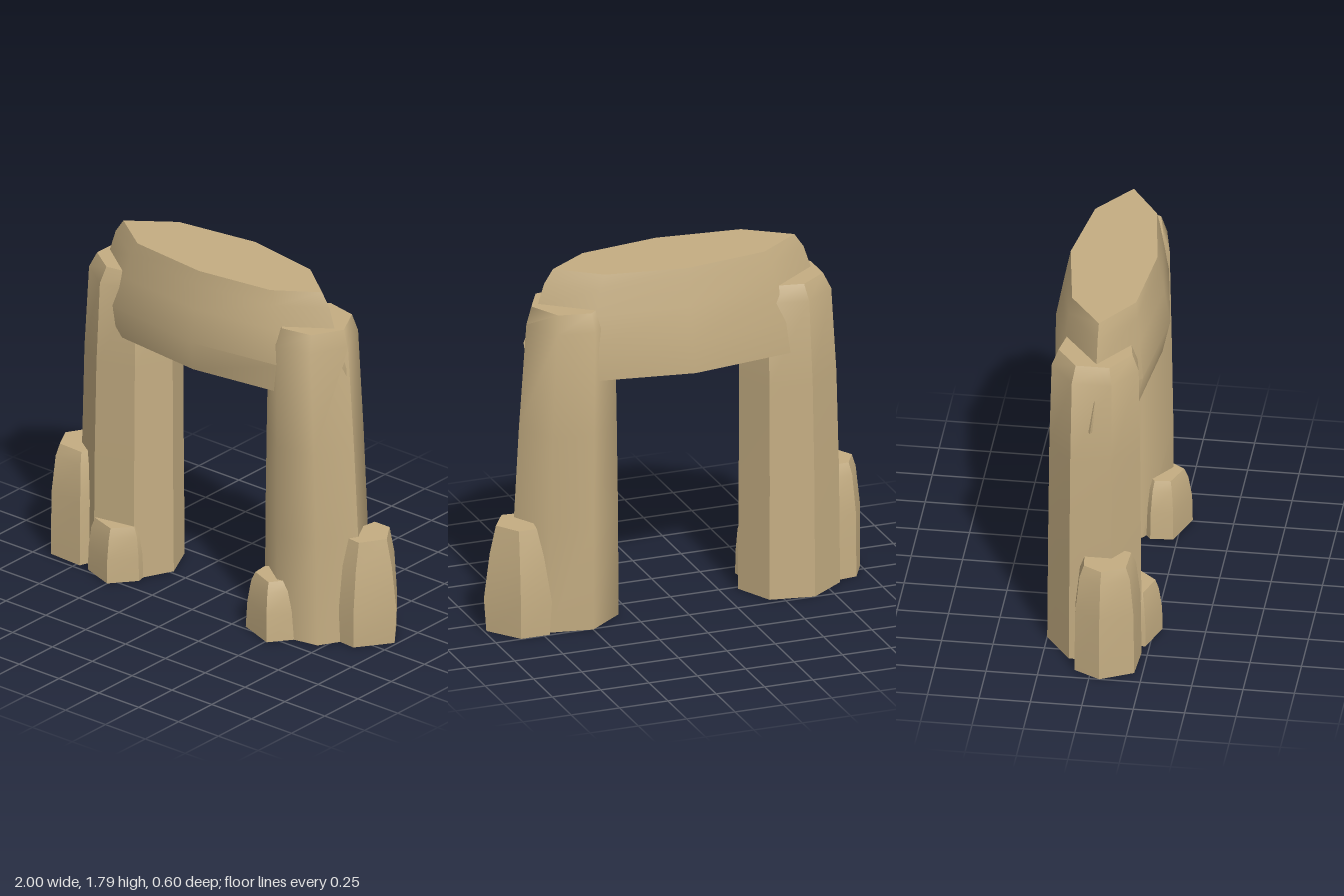
import * as THREE from 'three';
import { toCreasedNormals } from 'three/addons/utils/BufferGeometryUtils.js';

const stone = new THREE.MeshStandardMaterial({ color: 0xc4ad82 });
stone.name = 'sandstone';

// Lofts a footprint of [x, z] points (running from +x towards +z) through
// levels of [y, scaleX, scaleZ, shiftX, shiftZ] about a centre.
function rock(name, [cx, cz], footprint, levels, crease) {
  const rings = levels.map(([y, sx, sz, dx = 0, dz = 0]) =>
    footprint.map(([x, z]) => [cx + (x - cx) * sx + dx, y, cz + (z - cz) * sz + dz]));
  const positions = [];
  const tri = (...corners) => corners.forEach((c) => positions.push(...c));
  const n = footprint.length;
  const bottom = rings[0];
  const top = rings[rings.length - 1];
  for (let i = 0; i < n; i++) {
    const k = (i + 1) % n;
    for (let j = 0; j < rings.length - 1; j++) {
      const low = rings[j];
      const high = rings[j + 1];
      tri(low[i], high[i], low[k]);
      tri(low[k], high[i], high[k]);
    }
    if (i > 0 && i < n - 1) {
      tri(top[0], top[k], top[i]);
      tri(bottom[0], bottom[i], bottom[k]);
    }
  }
  const geometry = new THREE.BufferGeometry();
  geometry.setAttribute('position', new THREE.Float32BufferAttribute(positions, 3));
  const mesh = new THREE.Mesh(toCreasedNormals(geometry, crease), stone);
  mesh.name = name;
  return mesh;
}

export function createModel() {
  const group = new THREE.Group();
  group.name = 'stoneArch';

  // Standing pillars, tapering upwards to a chamfered top
  group.add(rock('rightPillar', [-0.58, -0.02],
    [[-0.34, -0.02], [-0.43, 0.17], [-0.65, 0.21], [-0.83, 0.09], [-0.83, -0.12], [-0.65, -0.25], [-0.43, -0.21]],
    [[0, 1, 1], [0.6, 0.98, 0.98], [1.1, 0.95, 0.96, 0.005], [1.53, 0.89, 0.92, 0.015], [1.61, 0.76, 0.78, 0.02]], 0.6));
  group.add(rock('leftPillar', [0.57, -0.02],
    [[0.83, -0.02], [0.72, 0.17], [0.5, 0.21], [0.315, 0.08], [0.315, -0.12], [0.5, -0.26], [0.72, -0.22]],
    [[0, 1, 1], [0.54, 0.97, 0.99, -0.005], [1.0, 0.91, 0.96, -0.015], [1.53, 0.82, 0.92, -0.03], [1.62, 0.72, 0.78, -0.03]], 0.95));

  // Lintel lying across both pillars
  group.add(rock('lintel', [0, 0],
    [[0.76, 0], [0.5, 0.185], [0, 0.26], [-0.53, 0.2], [-0.8, 0], [-0.53, -0.21], [0, -0.295], [0.5, -0.21]],
    [[1.27, 1, 0.94, -0.015, -0.02], [1.43, 1, 1], [1.6, 0.91, 0.89], [1.72, 0.86, 0.81], [1.79, 0.8, 0.76]], 0.6));

  // Boulders leaning at the outer feet
  group.add(rock('rightOuterBoulder', [-0.84, 0.065],
    [[-0.68, 0.08], [-0.73, 0.22], [-0.92, 0.21], [-1, 0.05], [-0.93, -0.08], [-0.75, -0.1]],
    [[0, 1, 1], [0.33, 0.99, 0.97], [0.52, 0.86, 0.84], [0.58, 0.74, 0.7]], 0.5));
  group.add(rock('leftOuterBoulder', [0.84, -0.09],
    [[1, -0.09], [0.87, 0.08], [0.74, 0.07], [0.68, -0.09], [0.71, -0.25], [0.87, -0.25]],
    [[0, 0.92, 0.98], [0.17, 1, 1], [0.4, 0.78, 0.88, 0.005], [0.54, 0.58, 0.7, 0.005]], 0.5));

  // Small boulders in front
  group.add(rock('rightFrontBoulder', [-0.53, 0.17],
    [[-0.4, 0.17], [-0.5, 0.29], [-0.67, 0.23], [-0.68, 0.1], [-0.54, 0.04], [-0.42, 0.08]],
    [[0, 1, 1], [0.12, 0.98, 0.99], [0.23, 0.9, 0.86], [0.28, 0.78, 0.72]], 0.5));
  group.add(rock('leftFrontBoulder', [0.45, 0.17],
    [[0.61, 0.17], [0.51, 0.3], [0.32, 0.23], [0.31, 0.12], [0.42, 0.04], [0.58, 0.08]],
    [[0, 1, 1], [0.14, 0.93, 0.98], [0.25, 0.8, 0.85], [0.3, 0.65, 0.7]], 0.5));

  return group;
}
